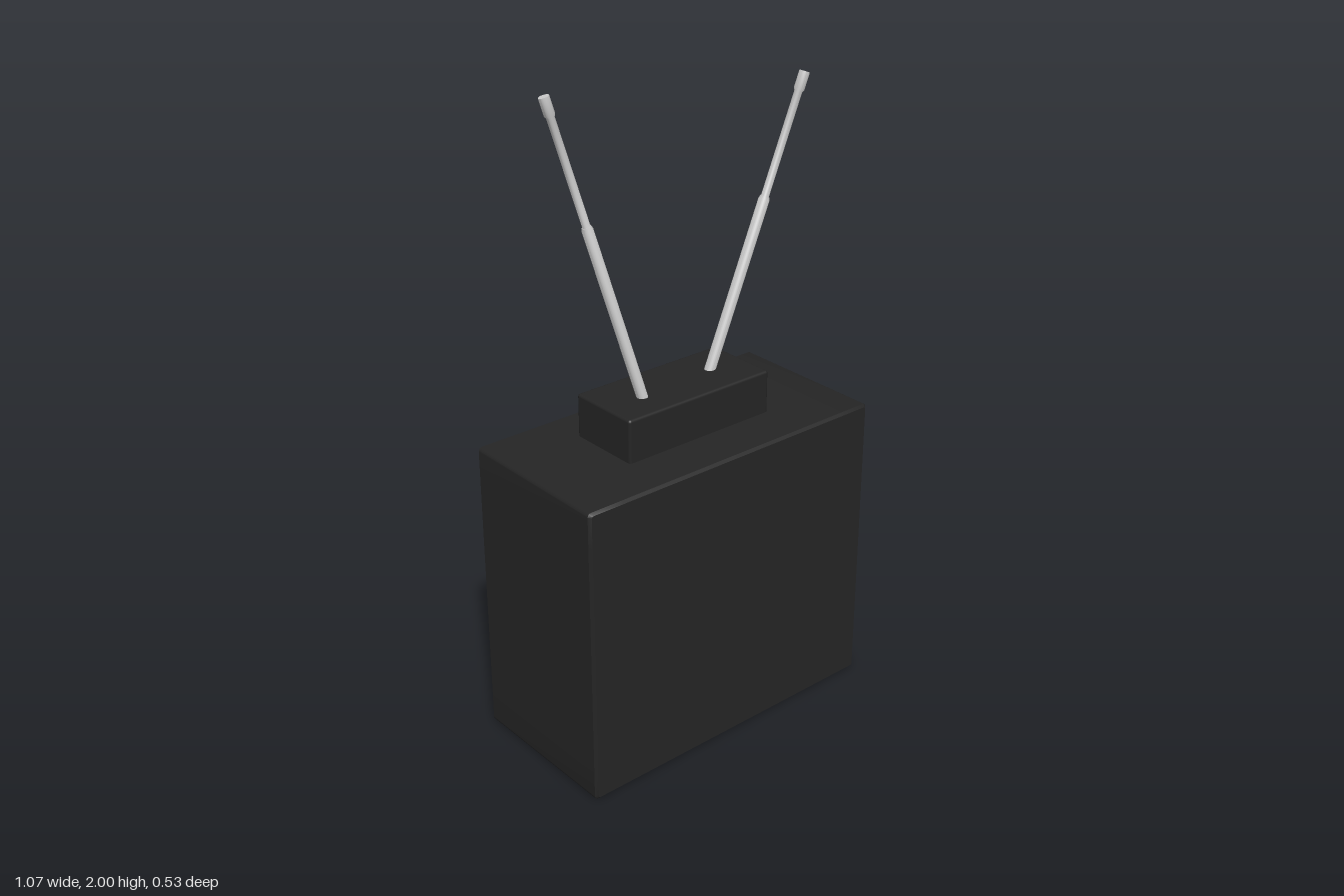
import * as THREE from 'three';
import { toCreasedNormals } from 'three/addons/utils/BufferGeometryUtils.js';
import { RoundedBoxGeometry } from 'three/addons/geometries/RoundedBoxGeometry.js';

const dark = new THREE.MeshStandardMaterial({ color: 0x252525, side: THREE.DoubleSide });
const grey = new THREE.MeshStandardMaterial({ color: 0xcccccc, side: THREE.DoubleSide });

// Rounded rectangle outline whose sides can bow outwards (bx, by)
function outline({ w, h, r = 0, bx = 0, by = 0, z }) {
  const corners = [[1, 1], [-1, 1], [-1, -1], [1, -1]];
  const pts = [];
  const arc = 5, side = 10;
  corners.forEach(([sx, sy], c) => {
    for (let i = 0; i <= arc; i++) {
      const a = (c + i / arc) * Math.PI / 2;
      pts.push([sx * (w - r) + r * Math.cos(a), sy * (h - r) + r * Math.sin(a)]);
    }
    const [nx, ny] = corners[(c + 1) % 4];
    const a = (c + 1) * Math.PI / 2;
    for (let i = 1; i < side; i++) {
      const t = i / side;
      pts.push([
        THREE.MathUtils.lerp(sx, nx, t) * (w - r) + r * Math.cos(a),
        THREE.MathUtils.lerp(sy, ny, t) * (h - r) + r * Math.sin(a),
      ]);
    }
  });
  return pts.map(([x, y]) => [
    x * (1 + bx * (1 - (y / h) ** 2)),
    y * (1 + by * (1 - (x / w) ** 2)),
    z,
  ]);
}

// Skin a list of outlines in order
function loft(sections, crease) {
  const rings = sections.map(outline);
  const n = rings[0].length;
  const index = [];
  for (let i = 0; i < rings.length - 1; i++) {
    for (let j = 0; j < n; j++) {
      const a = i * n + j, b = i * n + (j + 1) % n;
      index.push(a, a + n, b + n, a, b + n, b);
    }
  }
  const g = new THREE.BufferGeometry();
  g.setAttribute('position', new THREE.Float32BufferAttribute(rings.flat(2), 3));
  g.setIndex(index);
  return toCreasedNormals(g, crease);
}

function add(parent, name, geometry, material, x, y, z) {
  const mesh = new THREE.Mesh(geometry, material);
  mesh.name = name;
  mesh.position.set(x, y, z);
  parent.add(mesh);
  return mesh;
}

// Telescopic rod: thick lower tube, thin upper tube, small cap
function addAntenna(parent, name, from, to) {
  const dir = new THREE.Vector3(...to).sub(new THREE.Vector3(...from));
  const L = dir.length();
  const k = L * 0.6;
  const profile = [
    [0, 0], [0.017, 0], [0.017, k - 0.01], [0.014, k], [0.012, k],
    [0.012, L - 0.06], [0.016, L - 0.052], [0.016, L], [0, L],
  ].map(([x, y]) => new THREE.Vector2(x, y));
  const rod = add(parent, name, toCreasedNormals(new THREE.LatheGeometry(profile, 16), 0.6), grey, ...from);
  rod.quaternion.setFromUnitVectors(new THREE.Vector3(0, 1, 0), dir.normalize());
}

export function createModel() {
  const model = new THREE.Group();
  model.name = 'television';

  // Cabinet shell: closed at +z, open at -z
  const W = 0.537, H = 0.48, D = 0.266, C = 0.008, T = 0.016;
  add(model, 'cabinet', loft([
    { w: 0.001, h: 0.001, z: D },
    { w: W - C, h: H - C, r: 0.006, z: D },
    { w: W, h: H, r: 0.012, z: D - C },
    { w: W, h: H, r: 0.012, z: -D + C },
    { w: W - C, h: H - C, r: 0.01, z: -D },
    { w: W - T, h: H - T, r: 0.01, z: -D },
  ], 0.5), dark, 0, H, 0);

  // Hollow inside, with soft edges where the walls meet the far panel
  const R = 0.04;
  const cove = [0, 1, 2, 3, 4, 5].map((i) => {
    const a = i / 5 * Math.PI / 2;
    const inset = T + R * (1 - Math.cos(a));
    return { w: W - inset, h: H - inset, r: 0.02, z: D - T - R + R * Math.sin(a) };
  });
  add(model, 'cabinetInterior', loft([
    { w: W - T, h: H - T, r: 0.01, z: -D },
    ...cove,
    { w: 0.001, h: 0.001, z: D - T },
  ], 0.8), dark, 0, H, 0);

  // Bezel sloping in to a bowed opening
  add(model, 'screenBezel', loft([
    { w: 0.521, h: 0.464, r: 0.01, z: -0.262 },
    { w: 0.508, h: 0.451, r: 0.02, z: -0.26 },
    { w: 0.483, h: 0.43, r: 0.028, bx: 0.025, by: 0.03, z: -0.238 },
    { w: 0.452, h: 0.404, r: 0.03, bx: 0.045, by: 0.065, z: -0.212 },
    { w: 0.435, h: 0.391, r: 0.028, bx: 0.06, by: 0.085, z: -0.195 },
  ], 0.7), grey, 0, H, 0);

  // Raised block carrying the antennas
  add(model, 'antennaBase', new RoundedBoxGeometry(0.536, 0.15, 0.243, 3, 0.009), dark, 0, 1.021, -0.014);

  addAntenna(model, 'rightAntenna', [-0.13, 1.07, 0.007], [-0.363, 1.995, -0.117]);
  addAntenna(model, 'leftAntenna', [0.132, 1.07, -0.016], [0.5, 1.94, -0.016]);
  return model;
}
